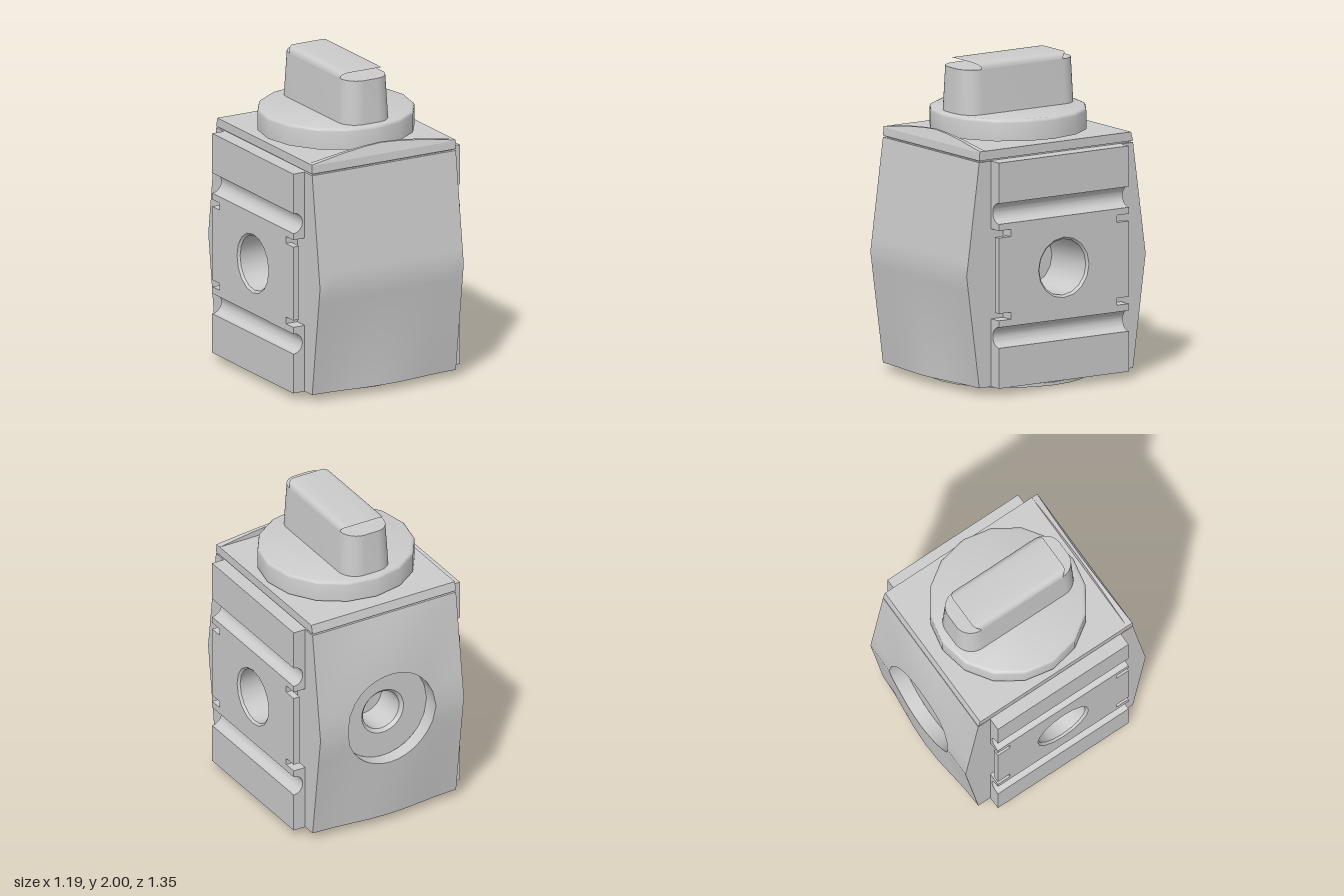
import * as THREE from 'three';
import { toCreasedNormals } from 'three/addons/utils/BufferGeometryUtils.js';

const MID = 0.755, HALF_H = 0.708, HALF_W = 0.515, OUT = 0.597;
const BOTTOM = MID - HALF_H, TOP = MID + HALF_H;
const mat = new THREE.MeshStandardMaterial({ color: 0xcccccc });
const matDouble = new THREE.MeshStandardMaterial({ color: 0xcccccc, side: THREE.DoubleSide });

function add(parent, name, geo, material = mat) {
  const mesh = new THREE.Mesh(toCreasedNormals(geo, 0.6), material);
  mesh.name = name;
  parent.add(mesh);
}
// Moves every vertex by a rule that edits it in place
function reshape(geo, rule) {
  const p = geo.attributes.position, v = new THREE.Vector3();
  for (let i = 0; i < p.count; i++) {
    rule(v.fromBufferAttribute(p, i));
    p.setXYZ(i, v.x, v.y, v.z);
  }
  return geo;
}
const shapeOf = pts => new THREE.Shape(pts.map(p => new THREE.Vector2(...p)));
const extrude = (shape, depth, curveSegments = 8) =>
  new THREE.ExtrudeGeometry(shape, { depth, bevelEnabled: false, curveSegments });
const lathe = (pts, n = 16) => new THREE.LatheGeometry(pts.map(p => new THREE.Vector2(...p)), n);
// Extrudes a (-z, y) outline along x
const prismX = (shape, x0, x1) => extrude(shape, x1 - x0).rotateY(Math.PI / 2).translate(x0, 0, 0);
function circleHole(shape, x, y, r) {
  shape.holes.push(new THREE.Path().absarc(x, y, r, 0, Math.PI * 2, true));
  return shape;
}

// Depth of the bulging front or back face at x and height v from the middle
function faceDepth(x, v, bulge) {
  const t = Math.abs(v) / HALF_H;
  const w = Math.cos((Math.PI * x) / (2 * HALF_W)) ** 2;
  const swell = v > 0 ? bulge * 4 * t * (1 - t) : 0.04 * t * t + bulge * 2 * t * (1 - t);
  return 0.675 - 0.095 * t + w * swell;
}

// Back face: rings from a recessed circle out to the rectangular border
function recessedFace(bulge, r, floor) {
  const n = 8, rings = 10, border = [], pos = [], index = [];
  const corners = [[1, -1], [1, 1], [-1, 1], [-1, -1]];
  corners.forEach(([cx, cy], s) => {
    const [dx, dy] = corners[(s + 1) % 4];
    for (let i = 0; i < n; i++) {
      const k = i / n;
      border.push([HALF_W * (cx + (dx - cx) * k), HALF_H * (cy + (dy - cy) * k)]);
    }
  });
  for (let i = -1; i <= rings; i++) {
    const k = Math.max(i, 0) / rings;
    for (const [bx, by] of border) {
      const scale = (r / Math.hypot(bx, by)) * (1 - k) + k;
      const x = bx * scale, v = by * scale;
      pos.push(x, MID + v, i < 0 ? floor : faceDepth(x, v, bulge));
    }
  }
  const m = border.length;
  for (let i = 0; i <= rings; i++)
    for (let j = 0; j < m; j++) {
      const a = i * m + j, d = i * m + (j + 1) % m;
      index.push(a, a + m, d, a + m, d + m, d);
    }
  const geo = new THREE.BufferGeometry();
  geo.setAttribute('position', new THREE.Float32BufferAttribute(pos, 3));
  geo.setIndex(index);
  return geo;
}

function buildBody(root) {
  const body = new THREE.Group();
  body.name = 'body';
  root.add(body);
  const front = new THREE.PlaneGeometry(2 * HALF_W, 2 * HALF_H, 12, 16);
  add(body, 'frontFace', reshape(front, v => { v.z = faceDepth(v.x, v.y, 0); }).translate(0, MID, 0));
  add(body, 'backFace', recessedFace(0.028, 0.315, 0.56).rotateY(Math.PI));
  // Stepped port in the back recess
  add(body, 'backPort', lathe([[0.315, 0.56], [0.15, 0.56], [0.13, 0.54], [0.13, 0.33], [0, 0.33]], 32)
    .rotateX(-Math.PI / 2).translate(0, MID, 0), matDouble);
  // Flat side walls with port openings
  for (const s of [1, -1]) {
    const wall = shapeOf([[-0.58, BOTTOM], [0.58, BOTTOM], [0.675, MID], [0.58, TOP], [-0.58, TOP], [-0.675, MID]]);
    circleHole(wall, 0, MID, 0.18);
    add(body, 'sideWall', new THREE.ShapeGeometry(wall, 8).rotateY(s * Math.PI / 2).translate(s * HALF_W, 0, 0));
  }
  // Top and underside follow the edges of both faces
  add(body, 'topFace', new THREE.PlaneGeometry(2 * HALF_W, 1.16).rotateX(-Math.PI / 2).translate(0, TOP, 0));
  const edge = [];
  for (let i = 0; i <= 12; i++) {
    const x = -HALF_W + (2 * HALF_W * i) / 12;
    edge.push([x, -faceDepth(x, -HALF_H, 0)]);
  }
  const outline = [...edge, ...edge.map(([x, z]) => [-x, -z])];
  add(body, 'underside', new THREE.ShapeGeometry(shapeOf(outline)).rotateX(Math.PI / 2).translate(0, BOTTOM, 0));
}

// Side mounting plate, built on +x
function buildSidePlate() {
  const plate = new THREE.Group();
  plate.name = 'sidePlate';
  // Upper and lower blocks, each with a round groove
  for (const [y0, y1, gy] of [[1.037, TOP, 1.143], [BOTTOM, 0.473, 0.365]]) {
    const s = new THREE.Shape();
    s.moveTo(0.5, y0);
    s.lineTo(OUT, y0);
    s.lineTo(OUT, gy - 0.065);
    s.absarc(OUT, gy, 0.065, -Math.PI / 2, Math.PI / 2, true);
    s.lineTo(OUT, y1);
    s.lineTo(0.5, y1);
    add(plate, 'groovedBlock', extrude(s, 0.98, 12).translate(0, 0, -0.49));
  }
  // Middle section: recessed inner layer and outer layer with clip tabs
  const inner = shapeOf([[-0.4, 0.473], [0.4, 0.473], [0.4, 1.037], [-0.4, 1.037]]);
  add(plate, 'innerLayer', prismX(circleHole(inner, 0, MID, 0.18), HALF_W, 0.555));
  const outer = shapeOf([[-0.4, 0.473], [0.4, 0.473], [0.4, 0.517], [0.49, 0.517], [0.49, 0.992], [0.4, 0.992],
    [0.4, 1.037], [-0.4, 1.037], [-0.4, 0.992], [-0.49, 0.992], [-0.49, 0.517], [-0.4, 0.517]]);
  add(plate, 'outerLayer', prismX(circleHole(outer, 0, MID, 0.19), 0.555, OUT));
  // Chamfered blind port
  add(plate, 'sidePort', lathe([[0.19, OUT], [0.176, 0.583], [0.176, 0.22], [0, 0.22]])
    .rotateZ(-Math.PI / 2).translate(0, MID, 0), matDouble);
  return plate;
}

function buildLid(root) {
  const lid = new THREE.Group();
  lid.name = 'lid';
  root.add(lid);
  add(lid, 'lidSeam', new THREE.BoxGeometry(1.0, 0.02, 1.12).translate(0, 1.468, 0));
  add(lid, 'lidPlate', prismX(shapeOf([[-0.58, 1.473], [0.58, 1.473], [0.565, 1.53], [-0.575, 1.53]]), -HALF_W, HALF_W));
  // Peaked lip along the front edge: sloped front, upright back
  const lip = extrude(shapeOf([[-HALF_W, 1.525], [HALF_W, 1.525], [HALF_W, 1.53], [0.28, 1.566], [0.12, 1.583],
    [0, 1.59], [-0.12, 1.583], [-0.28, 1.566], [-HALF_W, 1.53]]), 1);
  add(lid, 'frontLip', reshape(lip, v => { v.z = v.z > 0.5 ? 0.575 - (v.y - 1.53) * 0.4 : 0.535; }));
}

function buildKnob(root) {
  const knob = new THREE.Group();
  knob.name = 'knob';
  root.add(knob);
  add(knob, 'knobDisc', lathe([[0.17, 1.53], [0.17, 1.545], [0.49, 1.545], [0.49, 1.66], [0.487, 1.67],
    [0.48, 1.677], [0.47, 1.68], [0, 1.68]]));
  // Tapered grip with rounded corners
  const w = 0.17, l = 0.43, r = 0.12, s = new THREE.Shape();
  s.absarc(w - r, l - r, r, 0, Math.PI / 2);
  s.absarc(r - w, l - r, r, Math.PI / 2, Math.PI);
  s.absarc(r - w, r - l, r, Math.PI, Math.PI * 1.5);
  s.absarc(w - r, r - l, r, Math.PI * 1.5, Math.PI * 2);
  const grip = extrude(s, 0.28).rotateX(-Math.PI / 2).translate(0, 1.68, 0);
  add(knob, 'grip', reshape(grip, v => {
    const t = (v.y - 1.68) / 0.28;
    v.x *= 1 - 0.1 * t;
    v.z *= 1 - 0.025 * t;
  }));
  // Thin crown with rounded long edges, open at its overhanging ends
  const crown = new THREE.PlaneGeometry(2, 2, 16, 1).rotateX(-Math.PI / 2);
  add(knob, 'gripCrown', reshape(crown, v => {
    const side = Math.sign(v.x), a = Math.min(1, (1 - Math.abs(v.x)) * 2) * Math.PI / 2;
    v.x = side * (0.111 + 0.042 * Math.cos(a));
    v.y = 1.96 + 0.04 * Math.sin(a);
    v.z *= 0.305 + 0.037 * Math.sin(a) ** 2;
  }));
}

function buildBase(root) {
  const base = new THREE.Group();
  base.name = 'base';
  root.add(base);
  add(base, 'baseNeck', new THREE.CylinderGeometry(0.43, 0.43, 0.035, 24).translate(0, 0.0375, 0));
  // Bottom disc with two pin holes
  const disc = new THREE.Shape().absarc(0, 0, 0.495, 0, Math.PI * 2);
  for (const z of [0.32, -0.32]) circleHole(disc, 0, z, 0.03);
  add(base, 'baseDisc', extrude(disc, 0.02, 12).rotateX(Math.PI / 2).translate(0, 0.02, 0));
}

export function createModel() {
  const root = new THREE.Group();
  root.name = 'valveBlock';
  buildBody(root);
  for (const angle of [0, Math.PI]) {
    const plate = buildSidePlate();
    plate.rotation.y = angle;
    root.add(plate);
  }
  buildLid(root);
  buildKnob(root);
  buildBase(root);
  return root;
}
